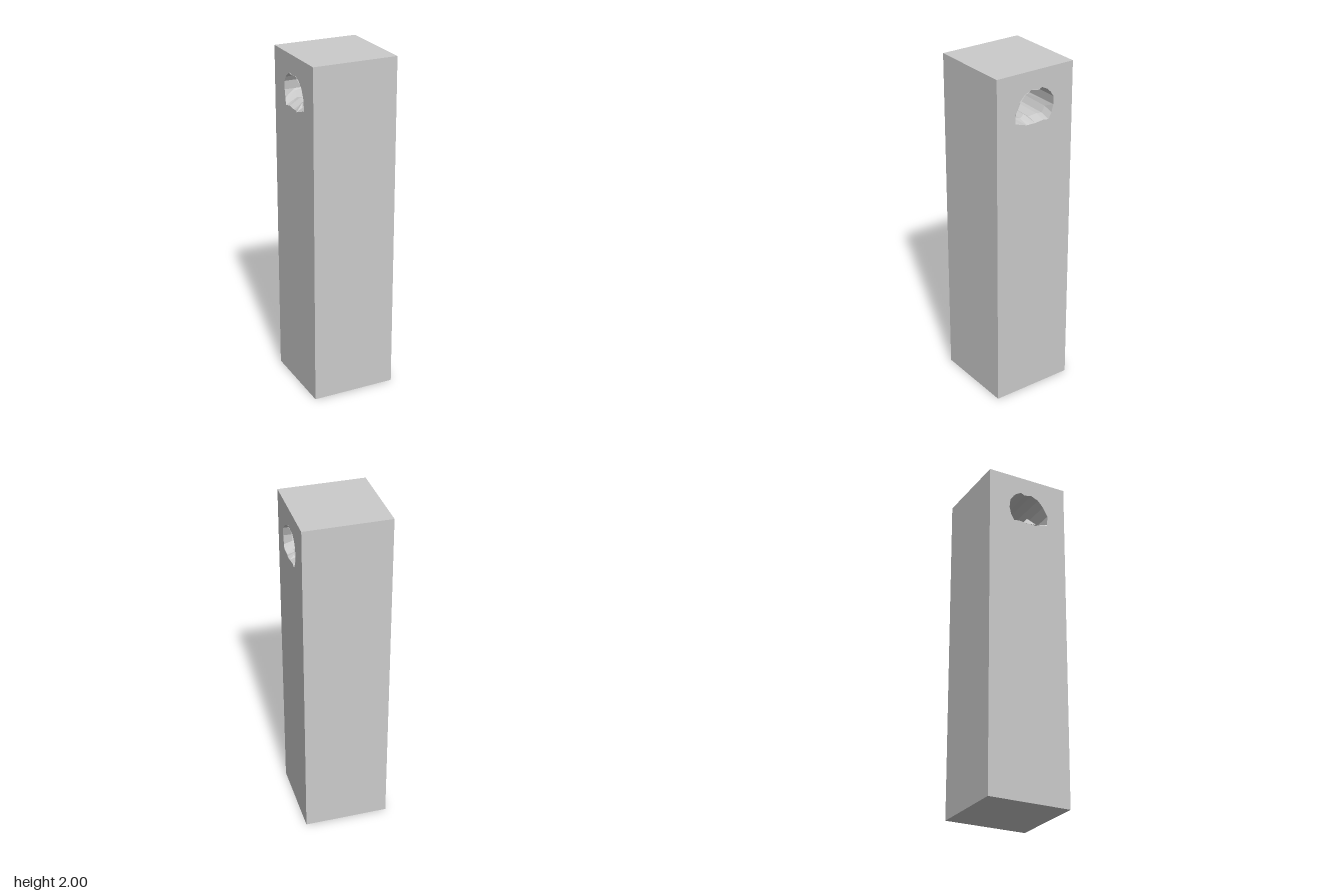
import * as THREE from 'three';

const HALF = 0.25, HEIGHT = 2;

// Ragged opening as [z, y] points
const OUTLINE = [
  [0.13, 1.78], [0.105, 1.84], [0.07, 1.875], [0.025, 1.895], [-0.02, 1.885], [-0.045, 1.895],
  [-0.075, 1.88], [-0.095, 1.86], [-0.115, 1.83], [-0.12, 1.78], [-0.11, 1.735], [-0.09, 1.7],
  [-0.055, 1.705], [0, 1.7], [0.03, 1.703], [0.055, 1.7], [0.1, 1.715], [0.13, 1.725],
];

// Repeatable uneven value from 0 to 1
const uneven = (n) => Math.abs(Math.sin(n * 12.9898) * 43758.5453) % 1;

// Side wall with the opening cut out; side is +1 for left, -1 for right
function piercedWall(side) {
  const shape = new THREE.Shape([
    new THREE.Vector2(-HALF, 0), new THREE.Vector2(HALF, 0),
    new THREE.Vector2(HALF, HEIGHT), new THREE.Vector2(-HALF, HEIGHT),
  ]);
  shape.holes.push(new THREE.Path(OUTLINE.map(([z, y]) => new THREE.Vector2(-side * z, y))));
  return new THREE.ShapeGeometry(shape).rotateY(side * Math.PI / 2).translate(side * HALF, 0, 0);
}

// Rough tunnel lofted through the block, with a raised floor and chipped ends
function tunnelGeometry() {
  const stations = [[-HALF, 0], [-0.19, 1], [-0.08, 0.7], [0.19, 0.5], [HALF, 0]];
  const n = OUTLINE.length;
  const positions = [], index = [];
  stations.forEach(([x, rise], s) => {
    OUTLINE.forEach(([z, y], i) => {
      const chip = Math.abs(x) === HALF ? Math.sign(x) * 0.01 * uneven(i + 7 * s + 1) ** 2 : 0;
      const bump = y < 1.75 ? 0.035 + 0.035 * Math.max(0, 1 - Math.abs(z - 0.03) / 0.03) : 0;
      positions.push(x + chip, y + rise * bump, z);
      if (s === stations.length - 1) return;
      const a = s * n + i, b = s * n + (i + 1) % n;
      index.push(a, b, a + n, b, b + n, a + n);
    });
  });
  const geometry = new THREE.BufferGeometry();
  geometry.setAttribute('position', new THREE.Float32BufferAttribute(positions, 3));
  geometry.setIndex(index);
  geometry.computeVertexNormals();
  return geometry;
}

export function createModel() {
  const group = new THREE.Group();
  const stone = new THREE.MeshStandardMaterial({ color: 0xcccccc, flatShading: true });
  const lining = stone.clone();
  lining.side = THREE.DoubleSide;

  const add = (name, geometry, material = stone) => {
    const mesh = new THREE.Mesh(geometry, material);
    mesh.name = name;
    group.add(mesh);
  };

  // Plain front and back walls
  const wall = () => new THREE.PlaneGeometry(2 * HALF, HEIGHT).translate(0, HEIGHT / 2, HALF);
  add('frontWall', wall());
  add('backWall', wall().rotateY(Math.PI));

  // Top and bottom
  const cap = () => new THREE.PlaneGeometry(2 * HALF, 2 * HALF);
  add('topFace', cap().rotateX(-Math.PI / 2).translate(0, HEIGHT, 0));
  add('bottomFace', cap().rotateX(Math.PI / 2));

  // Pierced side walls and the tunnel joining them
  add('leftWall', piercedWall(1));
  add('rightWall', piercedWall(-1));
  add('tunnel', tunnelGeometry(), lining);

  return group;
}
